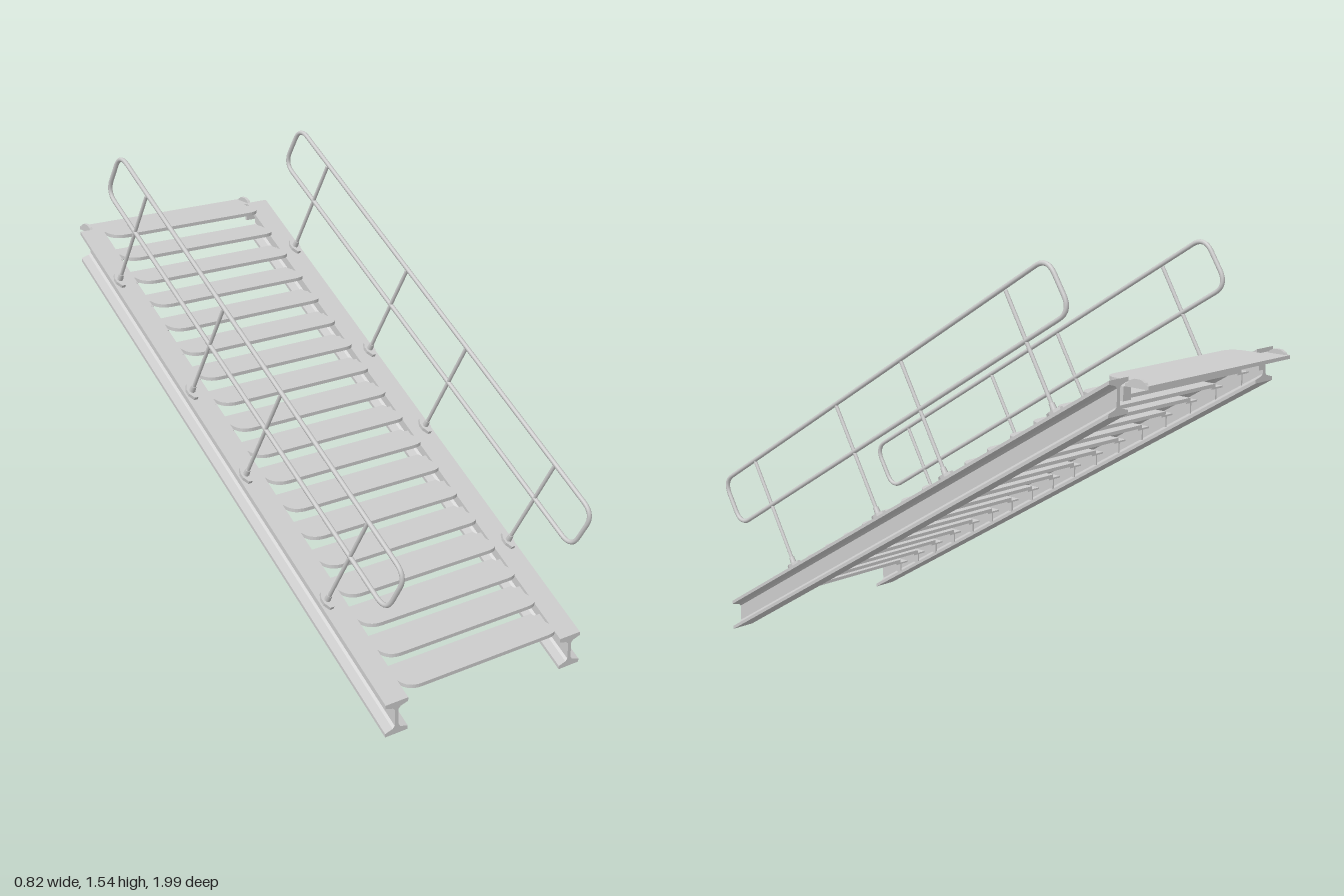
import * as THREE from 'three';

const SLOPE = 0.597, FRONT = 0.945, BACK = -0.895, BEAM_H = 0.112;
const TREADS = 18, RISE = 0.0621, RUN = 0.1024, DEPTH = 0.145, THICK = 0.012;
const grey = new THREE.MeshStandardMaterial({ color: 0xcccccc, side: THREE.DoubleSide });

function add(parent, name, geometry) {
  const mesh = new THREE.Mesh(geometry, grey);
  mesh.name = name;
  parent.add(mesh);
  return mesh;
}

// height of the stringer's top face at a given z
const beamTop = z => BEAM_H + (FRONT - z) * SLOPE;

function shapeOf(points) {
  return new THREE.Shape(points.map(p => new THREE.Vector2(p[0], p[1])));
}

// I-section with tapered flanges, sheared so both ends stay vertical
function stringerGeometry() {
  const w = 0.0445, t = 0.007, h = BEAM_H;
  const half = [[w, 0], [w, 0.012], [t + 0.008, 0.02], [t, 0.028],
    [t, h - 0.028], [t + 0.008, h - 0.02], [w, h - 0.012], [w, h]];
  const pts = [...half, ...half.slice().reverse().map(([x, y]) => [-x, y])];
  const g = new THREE.ExtrudeGeometry(shapeOf(pts), { depth: FRONT - BACK, bevelEnabled: false });
  g.translate(0, 0, BACK);
  const p = g.attributes.position;
  for (let i = 0; i < p.count; i++) p.setY(i, p.getY(i) + (FRONT - p.getZ(i)) * SLOPE);
  g.computeVertexNormals();
  return g;
}

// plan outline in x and z with a rounded nose; the landing widens at its back
function treadGeometry(depth, landing) {
  const w = 0.32, r = 0.055, s = new THREE.Shape();
  s.moveTo(-w + r, 0);
  s.lineTo(w - r, 0);
  s.quadraticCurveTo(w, 0, w, -r);
  if (landing) {
    s.lineTo(w, -0.115); s.lineTo(0.355, -0.115);
    s.lineTo(0.355, -depth); s.lineTo(-0.355, -depth);
    s.lineTo(-0.355, -0.115); s.lineTo(-w, -0.115);
  } else {
    s.lineTo(w, -depth); s.lineTo(-w, -depth);
  }
  s.lineTo(-w, -r);
  s.quadraticCurveTo(-w, 0, -w + r, 0);
  const g = new THREE.ExtrudeGeometry(s, { depth: THICK, bevelEnabled: false, curveSegments: 8 });
  return g.rotateX(Math.PI / 2);
}

// plate standing in the y-z plane, outline given as [z, y]
function sidePlate(points, thickness) {
  const g = new THREE.ExtrudeGeometry(shapeOf(points.map(([z, y]) => [-z, y])),
    { depth: thickness, bevelEnabled: false });
  return g.translate(0, 0, -thickness / 2).rotateY(Math.PI / 2);
}

// closed rail path with rounded corners, corners given as [z, y]
function railCurve(corners, r) {
  const v = corners.map(([z, y]) => new THREE.Vector3(0, y, z));
  const path = new THREE.CurvePath();
  const toward = (a, b) => a.clone().add(b.clone().sub(a).setLength(r));
  v.forEach((c, i) => {
    const prev = v[(i + 3) % 4], next = v[(i + 1) % 4];
    path.add(new THREE.QuadraticBezierCurve3(toward(c, prev), c, toward(c, next)));
    path.add(new THREE.LineCurve3(toward(c, next), toward(next, c)));
  });
  return path;
}

function rodBetween(a, b, radius) {
  const d = b.clone().sub(a);
  const g = new THREE.CylinderGeometry(radius, radius, d.length(), 10);
  g.applyQuaternion(new THREE.Quaternion().setFromUnitVectors(new THREE.Vector3(0, 1, 0), d.clone().normalize()));
  const m = a.clone().add(b).multiplyScalar(0.5);
  return g.translate(m.x, m.y, m.z);
}

function handrail() {
  const rail = new THREE.Group();
  const loop = railCurve([[1.0, 0.565], [0.908, 0.413], [-0.722, 1.393], [-0.625, 1.545]], 0.055);
  add(rail, 'railLoop', new THREE.TubeGeometry(loop, 320, 0.008, 8, true));
  const tilt = Math.atan(SLOPE);
  // hexagonal foot plate
  const foot = new THREE.Shape();
  [[-0.007, -0.032], [0.007, -0.032], [0.018, -0.01], [0.018, 0.01],
    [0.007, 0.032], [-0.007, 0.032], [-0.018, 0.01], [-0.018, -0.01]]
    .forEach(([x, y], i) => i ? foot.lineTo(x, y) : foot.moveTo(x, y));
  for (const z of [0.60, 0.14, -0.19, -0.665]) {
    const base = new THREE.Vector3(0, beamTop(z), z);
    const top = base.clone().add(new THREE.Vector3(0, 0.356, 0.2125));
    add(rail, 'post', rodBetween(base, top, 0.0065));
    const g = new THREE.ExtrudeGeometry(foot, { depth: 0.012, bevelEnabled: false });
    g.rotateX(-Math.PI / 2).rotateX(tilt);
    add(rail, 'postFoot', g).position.copy(base);
    const socket = add(rail, 'postSocket', new THREE.CylinderGeometry(0.009, 0.012, 0.035, 8));
    socket.position.set(0, base.y + 0.0155, base.z + 0.009);
    socket.rotation.x = tilt;
  }
  return rail;
}

export function createModel() {
  const model = new THREE.Group();
  model.name = 'stairway';

  // stringers and handrails on both sides
  const beam = stringerGeometry();
  for (const side of [1, -1]) {
    const name = side > 0 ? 'left' : 'right';
    add(model, name + 'Stringer', beam).position.x = side * 0.365;
    const rail = handrail();
    rail.name = name + 'Handrail';
    rail.position.x = side * 0.384;
    model.add(rail);
  }

  // treads with their support brackets
  const tread = treadGeometry(DEPTH, false);
  const gusset = sidePlate([[-0.045, 0], [-DEPTH, 0], [-DEPTH, -0.042], [-DEPTH + 0.015, -0.042]], 0.006);
  const ledge = new THREE.BoxGeometry(0.065, 0.006, DEPTH - 0.065);
  for (let i = 0; i < TREADS; i++) {
    const last = i === TREADS - 1;
    const y = 0.145 + i * RISE, z = FRONT - i * RUN;
    const step = new THREE.Group();
    step.name = last ? 'topLanding' : 'step';
    step.position.set(0, y, z);
    add(step, last ? 'landingPlate' : 'tread', last ? treadGeometry(z + 1, true) : tread);
    for (const side of [1, -1]) {
      if (last) break;
      add(step, 'treadGusset', gusset).position.set(side * 0.323, -THICK, 0);
      add(step, 'treadLedge', ledge).position.set(side * 0.331, -THICK - 0.003, -0.065 - (DEPTH - 0.065) / 2);
    }
    model.add(step);
  }

  // raised end cheeks and hangers at the landing
  const cheek = sidePlate([[-0.912, 1.19], [-0.93, 1.21], [-0.945, 1.216], [-0.97, 1.216],
    [-0.985, 1.208], [-0.998, 1.19]], 0.012);
  const hanger = new THREE.BoxGeometry(0.036, 0.045, 0.012);
  for (const side of [1, -1]) {
    add(model, 'landingCheek', cheek).position.x = side * 0.349;
    add(model, 'landingHanger', hanger).position.set(side * 0.338, 1.165, -0.9);
  }
  return model;
}
